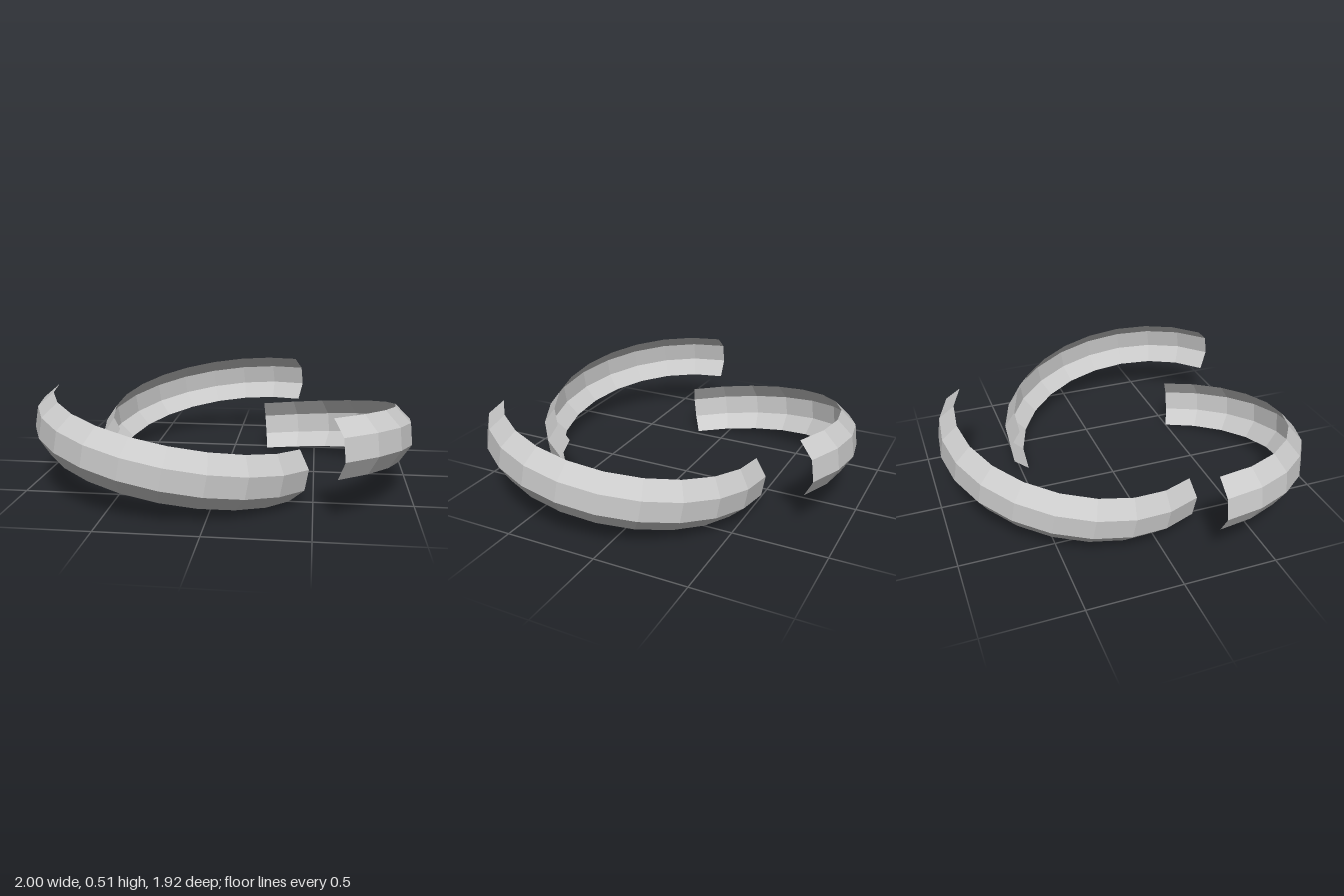
import * as THREE from 'three';

const deg = THREE.MathUtils.degToRad;

// Open curved strip: a 120 degree arc profile swept through 150 degrees
function bladeGeometry() {
  const arcRadius = 0.162, ringRadius = 0.632;
  const profile = [-60, -20, 20, 60].map((a) => new THREE.Vector2(
    ringRadius + arcRadius * Math.cos(deg(a)),
    arcRadius * Math.sin(deg(a))
  ));
  return new THREE.LatheGeometry(profile, 10, deg(-87.6), deg(150));
}

export function createModel() {
  const model = new THREE.Group();
  model.name = 'interlockingBlades';

  const material = new THREE.MeshStandardMaterial({
    color: 0xcccccc, flatShading: true, side: THREE.DoubleSide,
  });
  const geometry = bladeGeometry();

  // Three tilted blades, each off centre, turned about a shared pivot
  const names = ['frontBlade', 'leftBlade', 'backBlade'];
  names.forEach((name, i) => {
    const arm = new THREE.Group();
    arm.name = name;
    arm.position.set(0.017, 0, 0.073);
    arm.rotation.y = deg(120 * i);

    const blade = new THREE.Mesh(geometry, material);
    blade.name = name + 'Strip';
    blade.position.set(-0.235, 0.252, 0.097);
    blade.rotation.z = deg(-10.2);
    arm.add(blade);
    model.add(arm);
  });

  return model;
}
